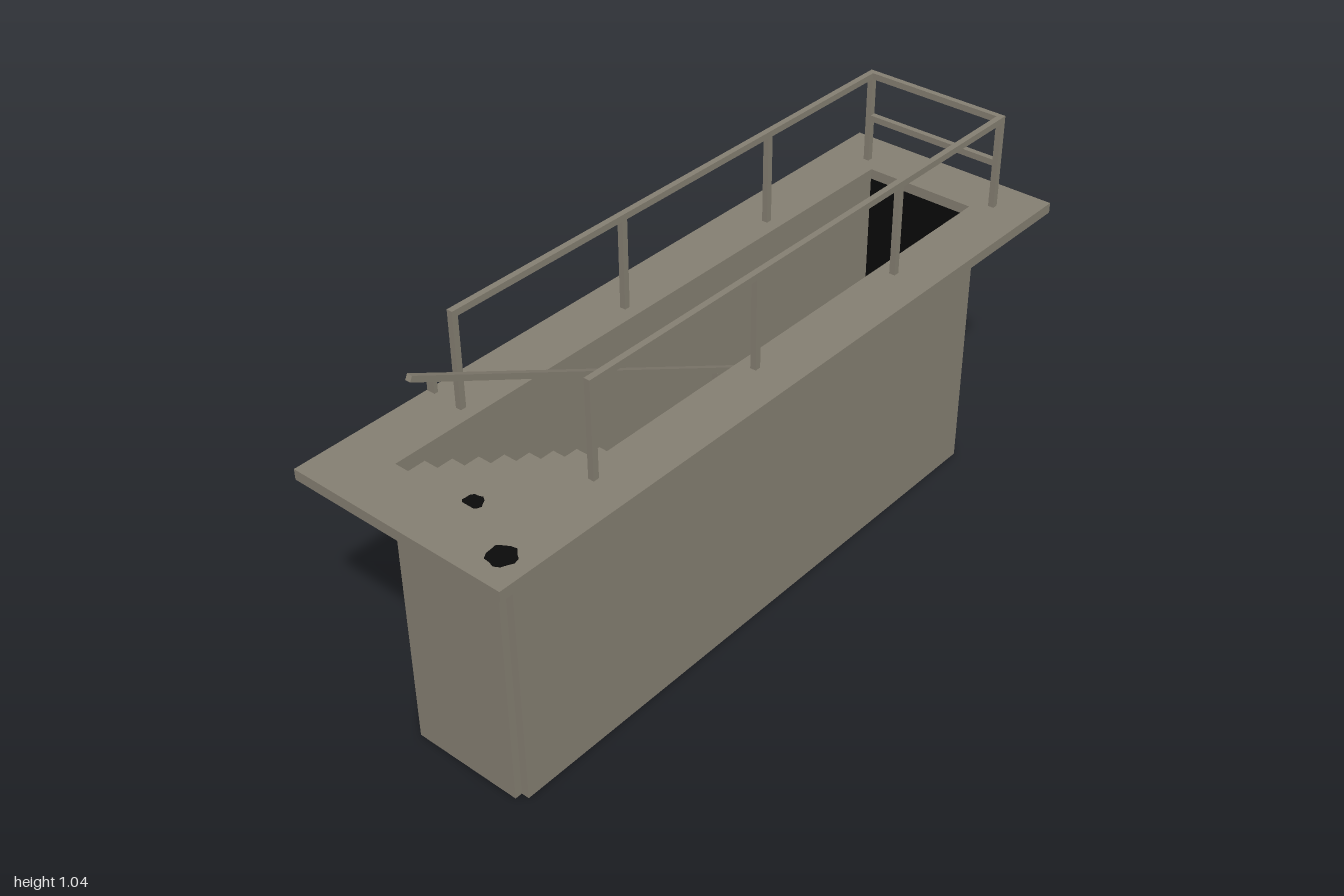
import * as THREE from 'three';

const concrete = new THREE.MeshStandardMaterial({ color: 0x857f72 });
concrete.name = 'concrete grey';
const black = new THREE.MeshStandardMaterial({ color: 0x0a0a0a });
black.name = 'black';

function add(parent, name, geometry, material = concrete) {
  const mesh = new THREE.Mesh(geometry, material);
  mesh.name = name;
  parent.add(mesh);
  return mesh;
}

// box given by its lower and upper bounds
function box(parent, name, [x0, x1], [y0, y1], [z0, z1], material) {
  const mesh = add(parent, name, new THREE.BoxGeometry(x1 - x0, y1 - y0, z1 - z0), material);
  mesh.position.set((x0 + x1) / 2, (y0 + y1) / 2, (z0 + z1) / 2);
  return mesh;
}

// thin irregular round patch, facing +z before it is turned
function patch(parent, name, radius, phase) {
  const points = [];
  for (let i = 0; i < 14; i++) {
    const a = (i / 14) * Math.PI * 2;
    const r = radius * (0.93 + 0.09 * Math.sin(i * 2.3 + phase));
    points.push(new THREE.Vector2(Math.cos(a) * r, Math.sin(a) * r));
  }
  const geometry = new THREE.ExtrudeGeometry(new THREE.Shape(points), { depth: 0.002, bevelEnabled: false });
  return add(parent, name, geometry, black);
}

export function createModel() {
  const model = new THREE.Group();
  model.name = 'stairwellEntrance';
  const inner = 0.156, outer = 0.178, end = 0.85;
  const slabBottom = 0.757, slabTop = 0.785;

  // pavement slab with the stair opening
  const shape = new THREE.Shape([[-0.306, -1], [0.306, -1], [0.306, 1], [-0.306, 1]]
    .map(p => new THREE.Vector2(...p)));
  shape.holes.push(new THREE.Path([[-inner, -end], [-inner, end], [inner, end], [inner, -end]]
    .map(p => new THREE.Vector2(...p))));
  const slab = add(model, 'slab',
    new THREE.ExtrudeGeometry(shape, { depth: slabTop - slabBottom, bevelEnabled: false }));
  slab.rotation.x = -Math.PI / 2;
  slab.position.y = slabBottom;

  // shaft walls, floor and the dark doorway at the foot of the stairs
  box(model, 'leftWall', [inner, outer], [0, slabBottom], [-end, end]);
  box(model, 'rightWall', [-outer, -inner], [0, slabBottom], [-end, end]);
  box(model, 'frontWall', [-inner, inner], [0, slabBottom], [end, 0.87]);
  box(model, 'darkDoorway', [-inner, inner], [0, slabBottom], [-0.87, -end], black);
  box(model, 'floor', [-inner, inner], [0, 0.015], [-end, end]);

  // stair flight as one stepped profile, drawn in (z, y)
  const steps = 19, tread = 0.0769, rise = 0.0385, topStep = 0.747;
  const profile = [[end, 0.015], [end, topStep]];
  for (let i = 0; i < steps; i++) {
    const z = 0.77 - i * tread, y = topStep - i * rise;
    profile.push([z, y]);
    if (i < steps - 1) profile.push([z, y - rise]);
  }
  profile.push([0.77 - (steps - 1) * tread, 0.015]);
  const stairShape = new THREE.Shape(profile.map(p => new THREE.Vector2(...p)));
  const stairs = add(model, 'stairs',
    new THREE.ExtrudeGeometry(stairShape, { depth: inner * 2, bevelEnabled: false }));
  stairs.rotation.y = -Math.PI / 2;
  stairs.position.x = inner;

  // guard railing around three sides
  const railing = new THREE.Group();
  railing.name = 'railing';
  model.add(railing);
  const h = 0.008, railX = 0.199, backZ = -0.892;
  for (const side of [-1, 1]) {
    const x = side * railX;
    for (const z of [0.617, 0.08, -0.457, backZ]) {
      box(railing, 'railingPost', [x - h, x + h], [slabTop, 1.026], [z - h, z + h]);
    }
    box(railing, 'sideTopRail', [x - h, x + h], [1.024, 1.041], [backZ - h, 0.617 + h]);
  }
  const span = [-railX + h, railX - h];
  box(railing, 'backTopRail', span, [1.024, 1.041], [backZ - h, backZ + h]);
  box(railing, 'backMiddleRail', span, [0.902, 0.919], [backZ - h, backZ + h]);

  // sloping handrail with brackets to the wall
  const handrail = new THREE.Group();
  handrail.name = 'handrail';
  model.add(handrail);
  const heightAt = z => 0.99 + (z - 0.805) * 0.5;
  const slope = Math.atan(0.5), zMid = 0.052;
  const bar = add(handrail, 'handrailBar', new THREE.BoxGeometry(0.015, 0.015, 1.505 / Math.cos(slope)));
  bar.rotation.x = -slope;
  bar.position.set(-0.137, heightAt(zMid), zMid);
  for (const z of [0.735, 0.27, -0.195, -0.66]) {
    const y = heightAt(z);
    box(handrail, 'handrailBracket', [-0.159, -0.137], [y - 0.04, y - 0.01], [z - 0.005, z + 0.005]);
  }

  // dark patches on the slab, top step and inner wall
  const slabPatch = patch(model, 'slabPatch', 0.036, 0.4);
  slabPatch.rotation.x = -Math.PI / 2;
  slabPatch.position.set(0.233, slabTop, 0.92);
  const stepPatch = patch(model, 'stepPatch', 0.025, 1.7);
  stepPatch.rotation.x = -Math.PI / 2;
  stepPatch.position.set(0.027, topStep, 0.803);
  const wallPatch = patch(model, 'wallPatch', 0.027, 2.9);
  wallPatch.rotation.y = -Math.PI / 2;
  wallPatch.position.set(inner, 0.64, 0.54);

  return model;
}
